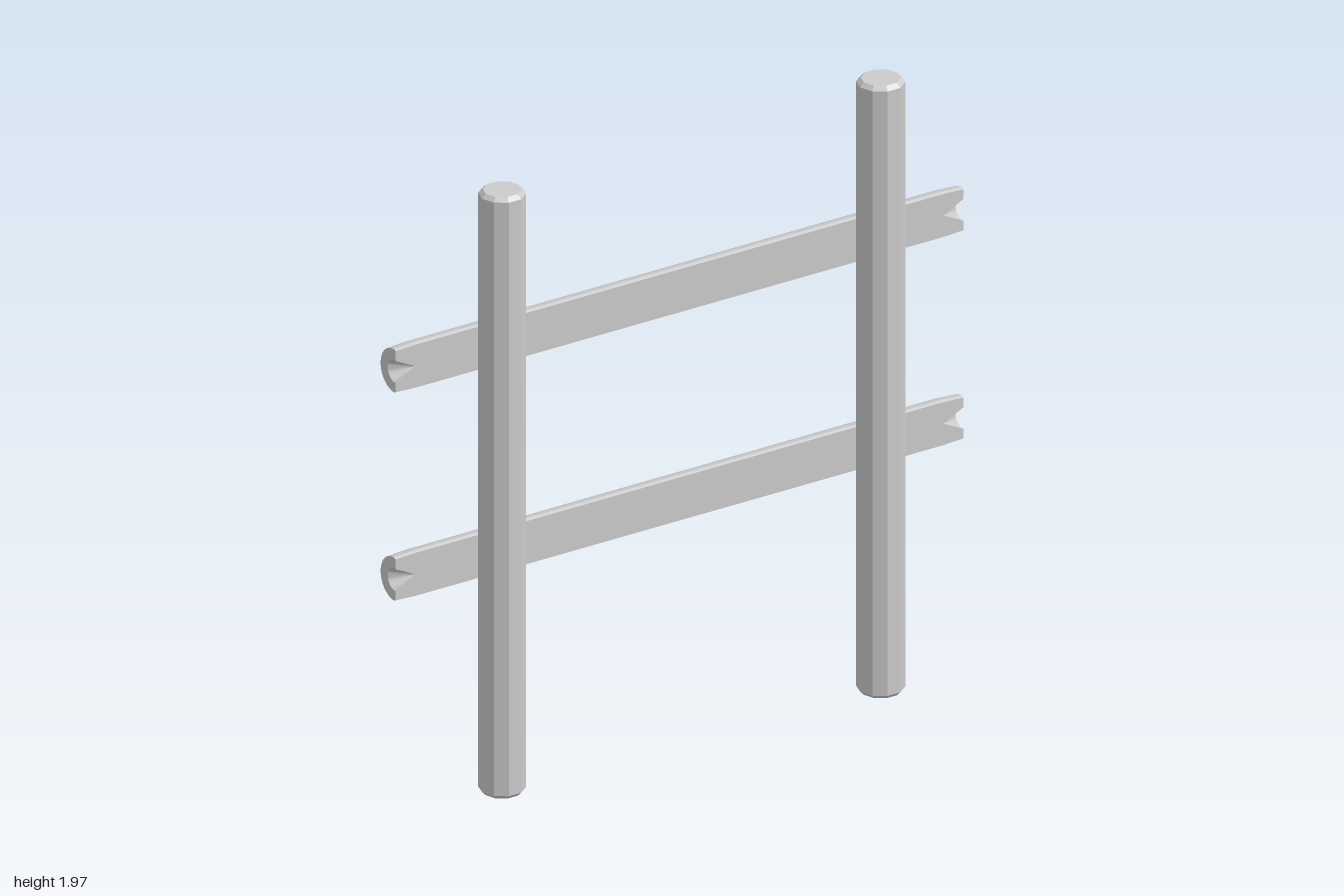
import * as THREE from 'three';
import { toCreasedNormals } from 'three/addons/utils/BufferGeometryUtils.js';

const smooth = new THREE.MeshStandardMaterial({ color: 0xcccccc });
const faceted = new THREE.MeshStandardMaterial({ color: 0xcccccc, flatShading: true });

// Ten-sided upright post with bevelled ends
function makePost(name, x, z, radius, bottom, top) {
  const bevel = 0.013;
  const profile = [
    [0, bottom], [radius - bevel, bottom], [radius, bottom + bevel],
    [radius, top - bevel], [radius - bevel, top], [0, top],
  ].map(([r, y]) => new THREE.Vector2(r, y));
  const post = new THREE.Mesh(new THREE.LatheGeometry(profile, 10), faceted);
  post.rotation.y = Math.PI / 10;
  post.position.set(x, 0, z);
  post.name = name;
  return post;
}

// Rail stations along x: [x, scale]; the ends taper, then sink into a cone
const half = [[0.93, 1], [1, 0.95], [1, 0.5], [0.93, 0]];
const stations = [...half.map(([x, s]) => [-x, s]).reverse(), ...half];

// Half-round back of the rail, swept along the stations
function roundSide() {
  const arc = [[0.069, 0]];
  const steps = 16;
  for (let k = 0; k <= steps; k++) {
    const a = (k / steps) * Math.PI;
    arc.push([0.073 * Math.cos(a), -0.009 - 0.073 * Math.sin(a)]);
  }
  arc.push([-0.069, 0]);
  const positions = [];
  const index = [];
  const n = arc.length;
  stations.forEach(([x, s], i) => {
    arc.forEach(([y, z], j) => {
      positions.push(x, y * s, z * s);
      if (i === stations.length - 1 || j === n - 1) return;
      const a = i * n + j, b = a + n;
      if (stations[i + 1][1] > 0) index.push(a, b, b + 1);
      if (s > 0) index.push(a, b + 1, a + 1);
    });
  });
  const geometry = new THREE.BufferGeometry();
  geometry.setAttribute('position', new THREE.Float32BufferAttribute(positions, 3));
  geometry.setIndex(index);
  return toCreasedNormals(geometry, 0.5);
}

// Flat front of the rail, notched where the end cones open
function flatSide() {
  const upper = stations.map(([x, s]) => new THREE.Vector2(x, 0.069 * s));
  const lower = stations.slice(1, -1).reverse().map(([x, s]) => new THREE.Vector2(x, -0.069 * s));
  return new THREE.ShapeGeometry(new THREE.Shape([...upper, ...lower]));
}

export function createModel() {
  const model = new THREE.Group();
  model.name = 'railFence';

  model.add(
    makePost('rightPost', -0.657, 0.027, 0.07, 0.02, 1.95),
    makePost('leftPost', 0.672, 0.034, 0.072, 0, 1.965),
  );

  const round = roundSide();
  const flat = flatSide();
  for (const [name, y] of [['lowerRail', 0.767], ['upperRail', 1.435]]) {
    const rail = new THREE.Group();
    rail.name = name;
    const back = new THREE.Mesh(round, smooth);
    back.name = name + 'RoundSide';
    const front = new THREE.Mesh(flat, smooth);
    front.name = name + 'FlatSide';
    rail.add(back, front);
    rail.position.set(0, y, -0.02);
    model.add(rail);
  }
  return model;
}
